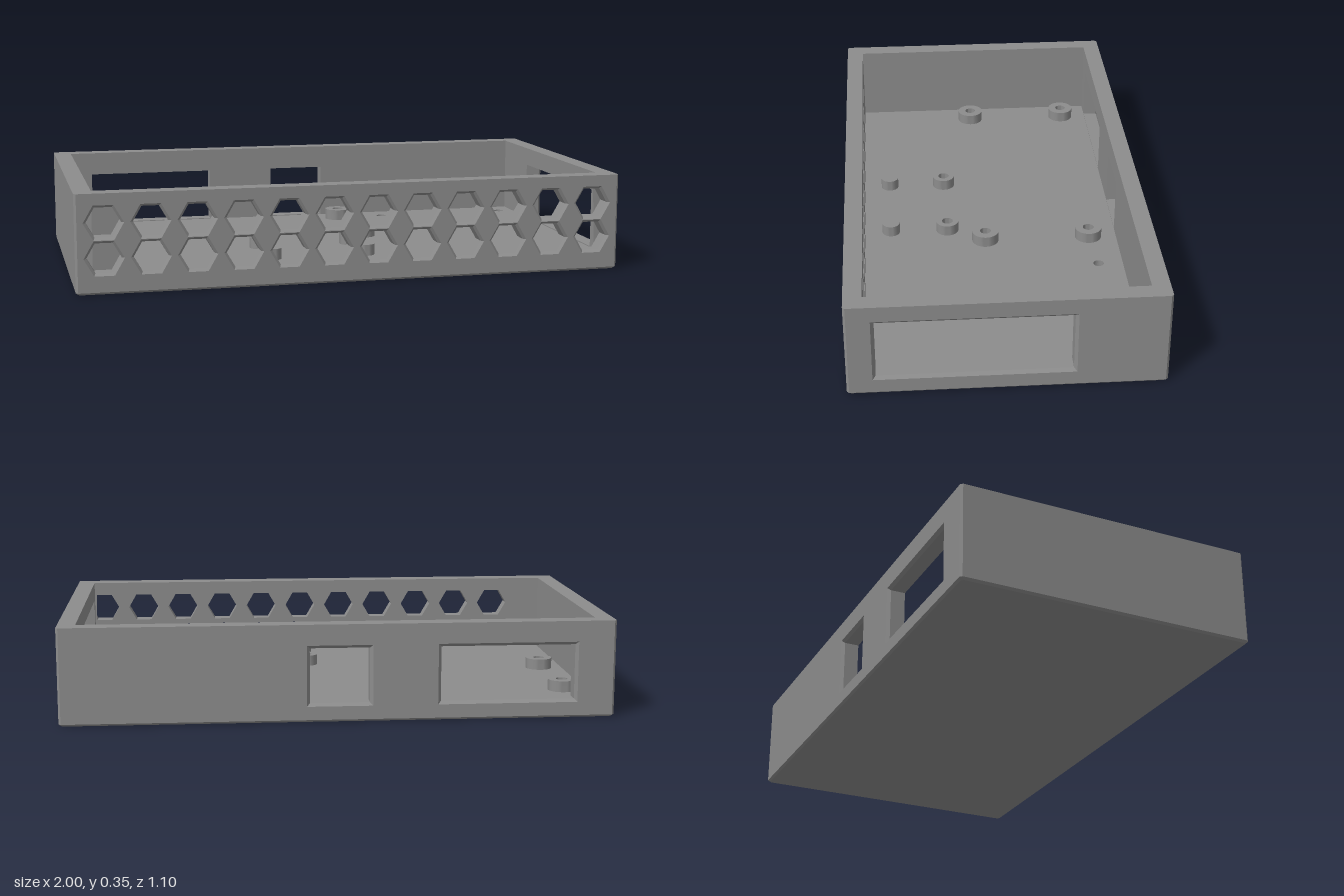
import * as THREE from 'three';
import { mergeGeometries, toCreasedNormals } from 'three/addons/utils/BufferGeometryUtils.js';

const W = 1, D = 0.55, H = 0.355;      // half width, half depth, height
const T = 0.065, FLOOR = 0.065;        // wall and floor thickness
const EDGE = 0.008, BEVEL = 0.011;     // outer edge chamfer, opening chamfer

const V2 = (x, y) => new THREE.Vector2(x, y);
const rect = (x0, y0, x1, y1) => [V2(x0, y0), V2(x1, y0), V2(x1, y1), V2(x0, y1)];
const polygon = (x, y, r, n) => Array.from({ length: n }, (_, i) => {
  const a = (i / n) * Math.PI * 2;
  return V2(x + r * Math.cos(a), y + r * Math.sin(a));
});
// Rectangle with cut corners, centred on the origin
const cutRect = (w, d, c) => [
  V2(-w + c, -d), V2(w - c, -d), V2(w, -d + c), V2(w, d - c),
  V2(w - c, d), V2(-w + c, d), V2(-w, d - c), V2(-w, -d + c)];

// Flat face with holes at height z; flip turns it to face -z
function face(outline, holes, z, flip = false) {
  const shape = new THREE.Shape(outline);
  holes.forEach(h => shape.holes.push(new THREE.Path(h)));
  const g = new THREE.ShapeGeometry(shape).translate(0, 0, z).toNonIndexed();
  g.deleteAttribute('uv');
  g.deleteAttribute('normal');
  if (flip) {
    const p = g.attributes.position, a = new THREE.Vector3(), b = new THREE.Vector3();
    for (let i = 0; i < p.count; i += 3) {
      a.fromBufferAttribute(p, i + 1);
      b.fromBufferAttribute(p, i + 2);
      p.setXYZ(i + 1, b.x, b.y, b.z);
      p.setXYZ(i + 2, a.x, a.y, a.z);
    }
  }
  return g;
}

// Band of quads between two rings; every second quad only if step is 2
function band(a, za, b, zb, start = 0, step = 1) {
  const pos = [];
  for (let i = start; i < a.length; i += step) {
    const j = (i + 1) % a.length;
    pos.push(a[i].x, a[i].y, za, a[j].x, a[j].y, za, b[j].x, b[j].y, zb);
    pos.push(a[i].x, a[i].y, za, b[j].x, b[j].y, zb, b[i].x, b[i].y, zb);
  }
  return new THREE.BufferGeometry().setAttribute('position', new THREE.Float32BufferAttribute(pos, 3));
}

function join(parts) {
  const g = mergeGeometries(parts);
  g.computeVertexNormals();
  return g;
}

// Wall with chamfered openings, outside facing +z at z = 0
function wall(half, openings) {
  const outer = openings.map(o => o.outer), inner = openings.map(o => o.inner);
  const parts = [
    face(rect(-half + EDGE, EDGE, half - EDGE, H), outer, 0),
    face(rect(-half + T, FLOOR, half - T, H), inner, -T, true)];
  openings.forEach(o => parts.push(
    band(o.outer, 0, o.inner, -BEVEL), band(o.inner, -BEVEL, o.inner, -T)));
  return join(parts);
}
const windowOpening = (x0, y0, x1, y1) => ({
  outer: rect(x0 - BEVEL, y0 - BEVEL, x1 + BEVEL, y1 + BEVEL),
  inner: rect(x0, y0, x1, y1) });

export function createModel() {
  const model = new THREE.Group();
  model.name = 'enclosureBase';
  const grey = new THREE.MeshStandardMaterial({ color: 0x8c8c8c, side: THREE.DoubleSide });
  grey.name = 'grey plastic';
  const add = (name, geometry, parent = model) => {
    const mesh = new THREE.Mesh(geometry, grey);
    mesh.name = name;
    parent.add(mesh);
    return mesh;
  };

  // Front wall with two rows of hexagonal vents
  const vents = [];
  for (let col = 0; col < 12; col++) {
    for (const y of [0.127, 0.252]) {
      const x = -0.9 + col * 0.1633;
      vents.push({ outer: polygon(x, y, 0.071, 6), inner: polygon(x, y, 0.061, 6) });
    }
  }
  add('frontWall', wall(W, vents)).position.z = D;

  // Back wall with two port openings
  const back = add('backWall', wall(W, [
    windowOpening(0.365, 0.068, 0.852, 0.268), windowOpening(-0.108, 0.068, 0.108, 0.268)]));
  back.position.z = -D;
  back.rotation.y = Math.PI;

  // Side walls, the left one with a long opening
  const left = add('leftWall', wall(D, [windowOpening(-0.45, 0.069, 0.224, 0.286)]));
  left.position.x = W;
  left.rotation.y = Math.PI / 2;
  const right = add('rightWall', wall(D, []));
  right.position.x = -W;
  right.rotation.y = -Math.PI / 2;

  // Underside, chamfered edges and top rim
  const body = cutRect(W, D, EDGE), base = cutRect(W - EDGE, D - EDGE, EDGE);
  const inside = rect(-W + T, -D + T, W - T, D - T);
  add('outerEdges', join([
    face(base, [], 0, true),
    band(base, 0, body, EDGE),
    band(body, EDGE, body, H, 1, 2),
    face(body, [inside], H)]).rotateX(-Math.PI / 2));

  // Floor with two blind locating holes
  const holes = [0.35, 0.875].map(x => polygon(x, 0.393, 0.02, 24));
  const parts = [face(inside, holes, FLOOR)];
  holes.forEach(h => parts.push(band(h, FLOOR, h, 0.025), face(h, [], 0.025)));
  add('floor', join(parts).rotateX(-Math.PI / 2));

  // Mounting posts, with or without a screw hole
  const posts = new THREE.Group();
  posts.name = 'mountingPosts';
  model.add(posts);
  const post = (name, x, z, r, hole) => {
    const top = 0.106;
    const profile = [V2(r, FLOOR), V2(r, top)];
    if (hole) profile.push(V2(hole, top), V2(hole, 0.03));
    profile.push(V2(0, hole ? 0.03 : top));
    const g = toCreasedNormals(new THREE.LatheGeometry(profile, 32), 0.6);
    add(name, g, posts).position.set(x, 0, z);
  };
  for (const x of [-0.844, 0.156]) {
    for (const z of [-0.377, 0.022]) post('largeStandoff', x, z, 0.051, 0.021);
  }
  for (const x of [-0.277, 0.073]) {
    post('smallStandoff', x, 0.165, 0.043, 0.021);
    post('supportPost', x, 0.384, 0.034, 0);
  }
  return model;
}
